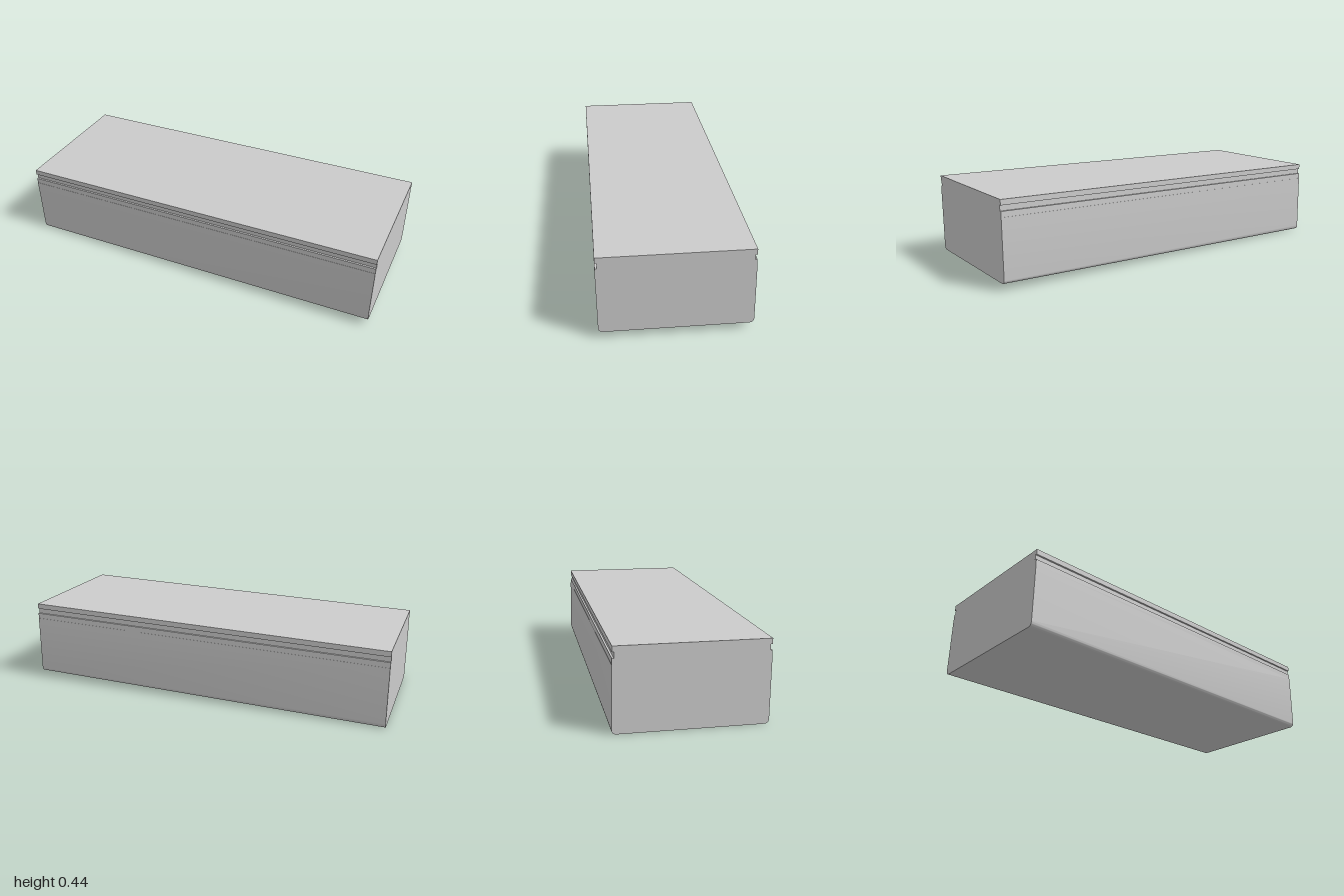
import * as THREE from 'three';
import { toCreasedNormals } from 'three/addons/utils/BufferGeometryUtils.js';

const SLOPE = 0.0175; // rise along x
const LEAN = 0.015; // slight lean of the sides towards +z

// Cross-section with optional rounded lower corners
function section(halfWidth, y0, y1, r) {
  const s = new THREE.Shape();
  s.moveTo(-halfWidth, y1);
  s.lineTo(-halfWidth, y0 + r);
  if (r) s.quadraticCurveTo(-halfWidth, y0, -halfWidth + r, y0);
  s.lineTo(halfWidth - r, y0);
  if (r) s.quadraticCurveTo(halfWidth, y0, halfWidth, y0 + r);
  s.lineTo(halfWidth, y1);
  s.closePath();
  return s;
}

// Prism along x, sheared so the block rises towards +x with upright ends
function slab(name, halfWidth, y0, y1, r = 0) {
  let geo = new THREE.ExtrudeGeometry(section(halfWidth, y0, y1, r), {
    depth: 2, bevelEnabled: false, curveSegments: 8,
  });
  geo.translate(0, 0, -1).rotateY(Math.PI / 2);
  const p = geo.attributes.position;
  for (let i = 0; i < p.count; i++) {
    const x = p.getX(i), y = p.getY(i);
    p.setXYZ(i, x, y + SLOPE * (x + 1), p.getZ(i) + LEAN * (y - 0.17));
  }
  geo = toCreasedNormals(geo, 0.6);
  const mesh = new THREE.Mesh(geo, new THREE.MeshStandardMaterial({ color: 0xcccccc }));
  mesh.name = name;
  return mesh;
}

export function createModel() {
  const group = new THREE.Group();
  group.name = 'slopedBlock';
  group.add(
    slab('body', 0.3695, 0, 0.323, 0.025),
    slab('rimBand', 0.3685, 0.323, 0.352),
    slab('recessedStrip', 0.359, 0.352, 0.38), // shadow groove under the top
    slab('topPlate', 0.368, 0.38, 0.408),
  );
  return group;
}
